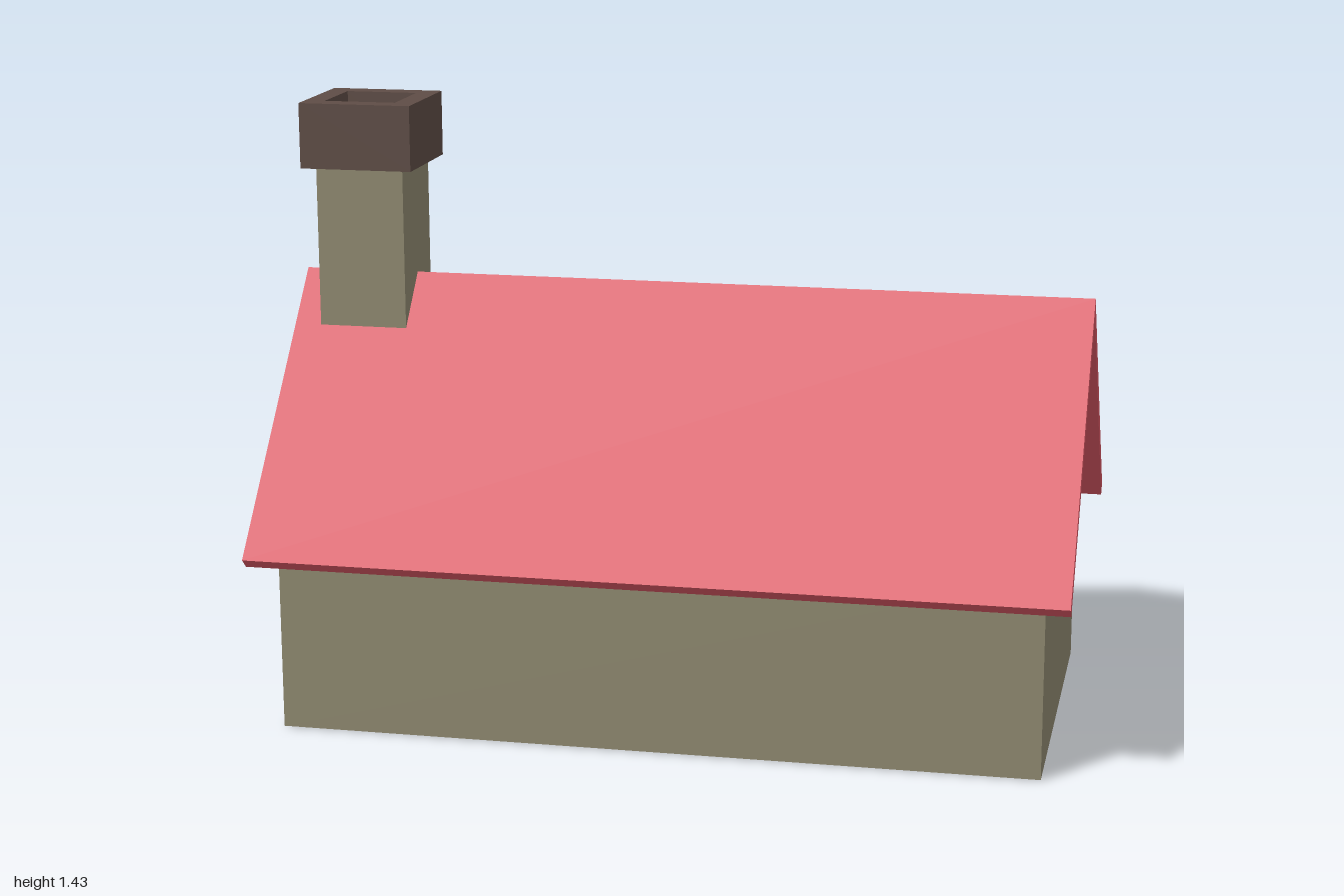
import * as THREE from 'three';

const mat = (color) => new THREE.MeshStandardMaterial({ color });

export function createModel() {
  const model = new THREE.Group();
  const house = new THREE.Group();
  house.name = 'house';
  house.rotation.y = 0.1;
  house.position.z = 0.06;
  model.add(house);

  const wall = mat(0x8f8970), red = mat(0xd95763), brown = mat(0x5f4d46);
  const glass = mat(0x7d69c8), gold = mat(0xc9a83a);

  const mesh = (name, geo, material, parent = house) => {
    const m = new THREE.Mesh(geo, material);
    m.name = name;
    parent.add(m);
    return m;
  };
  const poly = (pts) => new THREE.Shape(pts.map(([x, y]) => new THREE.Vector2(x, y)));
  const extrude = (shape, depth) =>
    new THREE.ExtrudeGeometry(shape, { depth, bevelEnabled: false, curveSegments: 16 });
  const box = (w, h, d, x, y, z) => new THREE.BoxGeometry(w, h, d).translate(x, y, z);

  // Pentagon wall section: half width w, base, eave height and apex
  const gable = (w, base, eave, apex) =>
    poly([[-w, base], [w, base], [w, eave], [0, apex], [-w, eave]]);

  // Bent roof slab section of thickness t, with square-cut eaves
  const chevron = (w, eave, ridge, t) => {
    const l = Math.hypot(w, ridge - eave), nx = t * (ridge - eave) / l, ny = t * w / l;
    return poly([[0, ridge], [-w, eave], [-w + nx, eave - ny],
      [0, ridge - t * l / w], [w - nx, eave - ny], [w, eave]]);
  };

  // Opening outline: straight sides to ys, elliptical head up to top
  const arch = (w, base, ys, top) => {
    const s = new THREE.Shape();
    s.moveTo(-w, base);
    s.lineTo(w, base);
    s.lineTo(w, ys);
    if (top > ys) s.absellipse(0, ys, w, top - ys, 0, Math.PI, false);
    else s.lineTo(-w, ys);
    s.closePath();
    return s;
  };

  // Framed opening facing +z, set on a wall by position and turn
  const opening = (name, [w, base, ys, top], f, fill, x, z, turn) => {
    const g = new THREE.Group();
    g.name = name;
    g.position.set(x, 0, z);
    g.rotation.y = turn;
    house.add(g);
    const inner = arch(w - f, base + f, top > ys ? ys : ys - f, top - f);
    const outer = arch(w, base, ys, top);
    outer.holes.push(inner);
    mesh('frame', extrude(outer, 0.04).translate(0, 0, -0.02), brown, g);
    mesh('panel', extrude(inner, 0.025).translate(0, 0, -0.02), fill, g);
    return g;
  };

  // Main body and roof, extruded along the length
  mesh('walls', extrude(gable(0.45, 0.002, 0.475, 0.97), 1.78)
    .translate(0, 0, -0.89).rotateY(Math.PI / 2), wall);
  mesh('mainRoof', extrude(chevron(0.53, 0.43, 1.015, 0.034), 1.9)
    .translate(0, 0, -0.95).rotateY(Math.PI / 2), red);

  // Garage and two dormers at the back
  const wings = [
    { name: 'garage', x: -0.357, w: 0.286, base: 0, z: -0.665, zIn: -0.4,
      rw: 0.335, eave: 0.475, ridge: 0.625, rz: -0.753, rIn: -0.352 },
    { name: 'smallDormer', x: 0.013, w: 0.142, base: 0.5, z: -0.395, zIn: -0.22,
      rw: 0.171, eave: 0.73, ridge: 0.805, rz: -0.434, rIn: -0.19 },
    { name: 'largeDormer', x: 0.545, w: 0.292, base: 0.5, z: -0.395, zIn: -0.11,
      rw: 0.334, eave: 0.815, ridge: 0.915, rz: -0.434, rIn: -0.091 },
  ];
  for (const o of wings) {
    const slope = (o.ridge - o.eave) / o.rw, apex = o.ridge - 0.015;
    mesh(o.name + 'Walls', extrude(gable(o.w, o.base, apex - slope * o.w, apex), o.zIn - o.z)
      .translate(o.x, 0, o.z), wall);
    mesh(o.name + 'Roof', extrude(chevron(o.rw, o.eave, o.ridge, 0.022), o.rIn - o.rz)
      .translate(o.x, 0, o.rz), red);
  }

  // Windows
  const back = Math.PI;
  for (const s of [1, -1])
    opening('gableWindow', [0.067, 0.555, 0.805, 0.805], 0.016, glass, s * 0.89, 0, s * Math.PI / 2);
  opening('lowerWindow', [0.285, 0.145, 0.34, 0.34], 0.022, glass, 0.55, -0.45, back);
  opening('largeDormerWindow', [0.223, 0.6, 0.78, 0.78], 0.022, glass, 0.547, -0.395, back);
  opening('archedWindow', [0.085, 0.775, 0.80, 0.865], 0.016, glass, 0.547, -0.395, back);
  opening('smallDormerWindow', [0.083, 0.595, 0.69, 0.75], 0.018, glass, 0.018, -0.395, back);

  // Garage door
  opening('garageDoor', [0.235, 0, 0.33, 0.49], 0.022, brown, -0.35, -0.665, back);

  // Front door with raised panels, threshold and knob
  const door = opening('door', [0.11, 0, 0.34, 0.34], 0.016, brown, 0.056, -0.45, back);
  for (const [y, h] of [[0.255, 0.1], [0.11, 0.13]])
    mesh('doorPanel', box(0.15, h, 0.01, 0, y, 0.006), brown, door);
  mesh('threshold', box(0.22, 0.016, 0.11, 0, 0.008, -0.025), brown, door);
  mesh('knob', new THREE.SphereGeometry(0.01, 12, 8).translate(-0.083, 0.175, 0.018), gold, door);

  // Chimney with hollow cap
  mesh('chimney', box(0.212, 0.61, 0.212, -0.78, 1.005, 0), wall);
  const cap = arch(0.135, -0.135, 0.135, 0.135);
  cap.holes.push(arch(0.086, -0.086, 0.086, 0.086));
  mesh('chimneyCap', extrude(cap, 0.155).rotateX(-Math.PI / 2).translate(-0.78, 1.28, 0), brown);

  return model;
}
